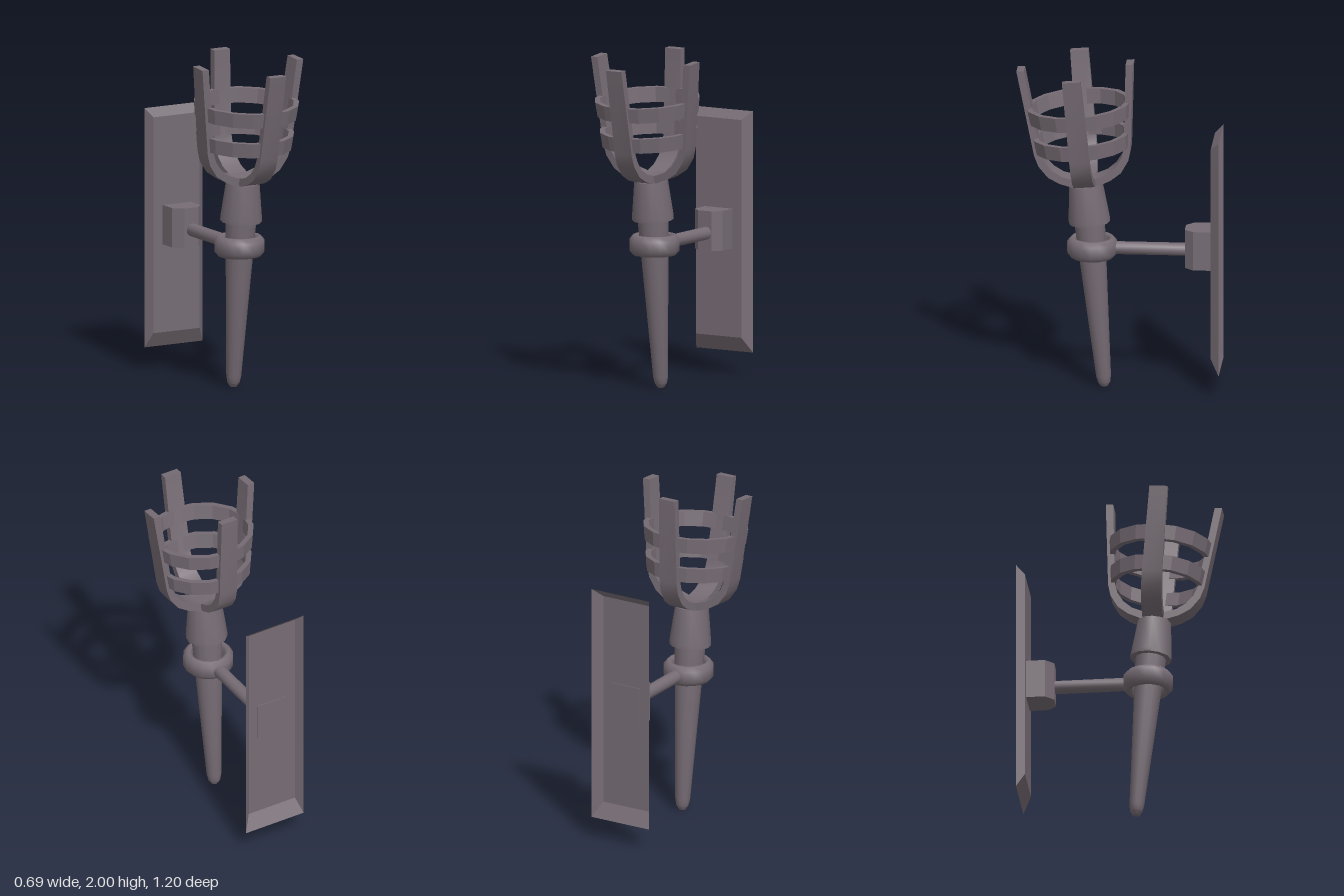
import * as THREE from 'three';
import { toCreasedNormals } from 'three/addons/utils/BufferGeometryUtils.js';

const V = (p) => new THREE.Vector2(p[0], p[1]);

export function createModel() {
  const root = new THREE.Group();
  root.name = 'wallTorch';
  const iron = new THREE.MeshStandardMaterial({ color: 0x766c74, side: THREE.DoubleSide });
  iron.name = 'dark iron';

  const add = (parent, name, geometry, crease = 0.6) => {
    const mesh = new THREE.Mesh(toCreasedNormals(geometry, crease), iron);
    mesh.name = name;
    parent.add(mesh);
    return mesh;
  };
  const lathe = (points, sides) => new THREE.LatheGeometry(points.map(V), sides);

  // Wall plate: a shallow bevelled tray, open at the back
  const plate = new THREE.BoxGeometry(0.395, 1.43, 0.05);
  const pos = plate.attributes.position;
  for (let i = 0; i < pos.count; i++) {
    if (pos.getZ(i) > 0) {
      pos.setX(i, Math.sign(pos.getX(i)) * 0.158 - 0.01);
      pos.setY(i, Math.sign(pos.getY(i)) * 0.645 + 0.02);
    }
  }
  plate.setIndex(Array.from(plate.index.array).slice(0, 30));
  plate.clearGroups();
  add(root, 'wallPlate', plate, 0.3).position.set(-0.003, 0.855, -0.575);

  // Mounting block with chamfered front corners, drawn in plan
  const plan = new THREE.Shape(
    [[-0.108, 0.555], [0.085, 0.555], [0.085, 0.44], [0.04, 0.39], [-0.055, 0.39], [-0.108, 0.44]].map(V));
  const block = new THREE.ExtrudeGeometry(plan, { depth: 0.235, bevelEnabled: false });
  block.rotateX(-Math.PI / 2);
  add(root, 'mountingBlock', block, 0.3).position.y = 0.755;

  // Arm from the block to the holding ring
  const arm = new THREE.CylinderGeometry(0.039, 0.039, 0.43, 12);
  arm.rotateX(Math.PI / 2);
  add(root, 'arm', arm).position.set(0, 0.858, -0.18);

  // Holding ring with chamfered rim
  add(root, 'holdingRing', lathe([
    [0.095, -0.045], [0.11, -0.06], [0.125, -0.06], [0.148, -0.033], [0.148, 0.033],
    [0.125, 0.06], [0.11, 0.06], [0.095, 0.045], [0.095, -0.045],
  ], 16), 0.9).position.set(-0.005, 0.86, 0.157);

  // The torch leans forward out of its ring
  const torch = new THREE.Group();
  torch.name = 'torch';
  torch.position.set(-0.005, 0, 0.085);
  torch.rotation.x = 0.087;
  root.add(torch);

  add(torch, 'handle', lathe(
    [[0, 0.002], [0.02, 0.006], [0.036, 0.03], [0.044, 0.07], [0.09, 1.0], [0.09, 1.05]], 12));
  add(torch, 'collar', lathe(
    [[0, 1.015], [0.122, 1.015], [0.122, 1.04], [0.099, 1.25], [0, 1.25]], 12));

  // Basket prongs: two crossing U-shaped straps
  const outer = [[0.08, 1.25], [0.15, 1.276], [0.215, 1.318], [0.265, 1.39], [0.285, 1.46], [0.344, 1.977]];
  const inner = [[0.3, 1.977], [0.245, 1.465], [0.226, 1.41], [0.185, 1.355], [0.13, 1.315], [0.06, 1.292]];
  const half = [...outer, ...inner];
  const mirrored = half.map(([x, y]) => [-x, y]).reverse();
  for (let k = 0; k < 2; k++) {
    const strap = new THREE.ExtrudeGeometry(
      new THREE.Shape([...half, ...mirrored].map(V)), { depth: 1, bevelEnabled: false });
    strap.translate(0, 0, -0.5);
    const p = strap.attributes.position;
    // Straps narrow a little towards their tips
    for (let i = 0; i < p.count; i++) {
      const t = (p.getY(i) - 1.25) / 0.73;
      p.setZ(i, p.getZ(i) * (0.123 - 0.016 * t));
    }
    strap.rotateY(k * Math.PI / 2);
    add(torch, k ? 'frontBackProngs' : 'sideProngs', strap, 0.5);
  }

  // Basket hoops
  for (const [name, y, r] of [['lowerHoop', 1.517, 0.286], ['upperHoop', 1.702, 0.307]]) {
    const h = 0.044, flare = 0.005, t = 0.032;
    add(torch, name, lathe([
      [r - flare - t, -h], [r - flare, -h], [r + flare, h], [r + flare - t, h], [r - flare - t, -h],
    ], 16), 0.3).position.y = y;
  }
  return root;
}
